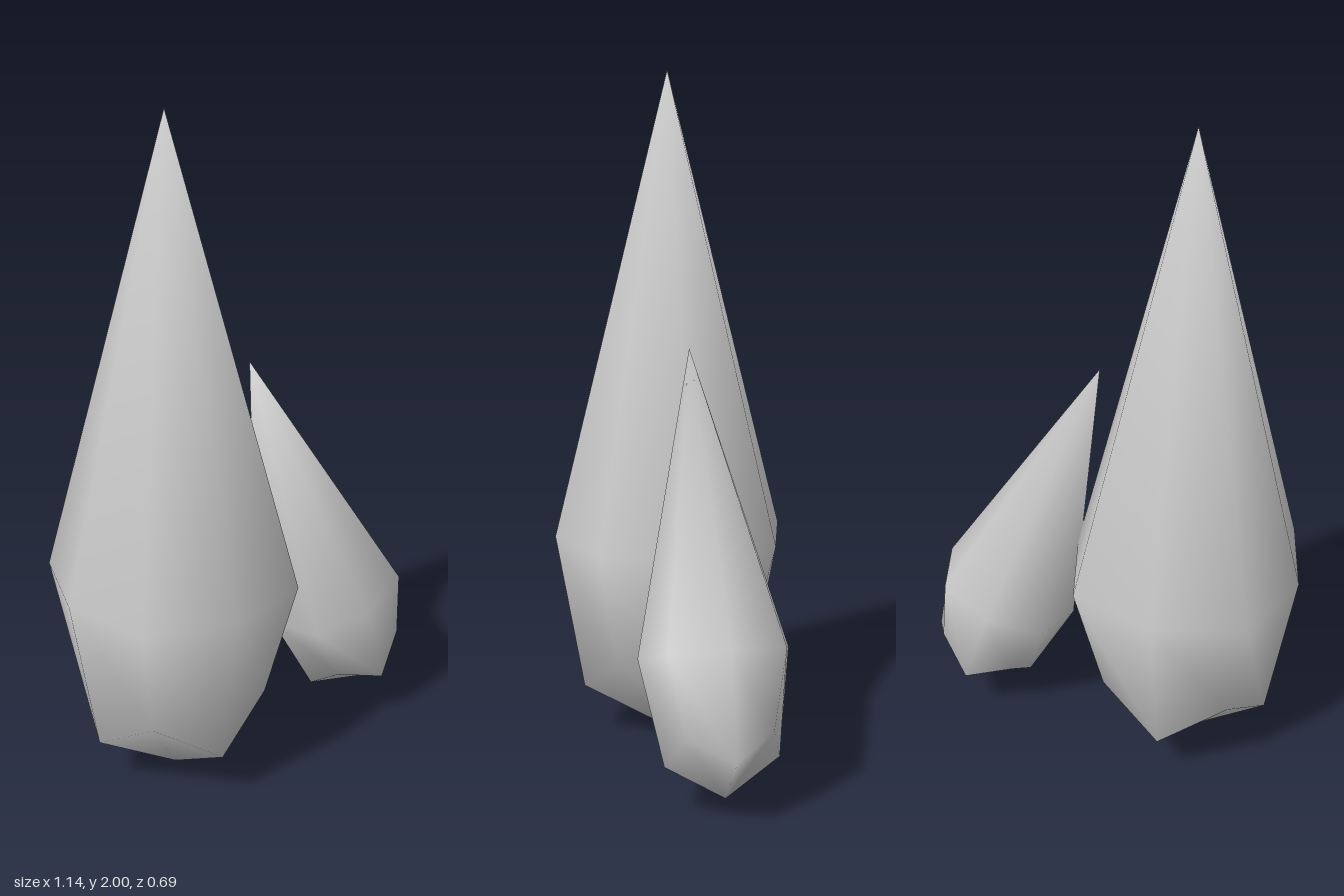
import * as THREE from 'three';

const SIDES = 8;

// Drop with its widest ring at y = 0: a straight spike above, a rounded-cube base below
function dropGeometry() {
  const points = [0, 1.36, 0]; // tip
  const addRing = (straight, diagonal) => {
    for (let i = 0; i < SIDES; i++) {
      const [radius, y] = i % 2 ? diagonal : straight;
      const a = (i / SIDES) * Math.PI * 2;
      points.push(radius * Math.cos(a), y, radius * Math.sin(a) * 1.02);
    }
  };
  addRing([0.337, 0], [0.364, 0]);           // widest ring
  addRing([0.256, -0.476], [0.27, -0.353]);  // base ring, corners sit higher
  points.push(0, -0.635, 0);                 // bottom point

  const bottom = 1 + SIDES * 2;
  const faces = [];
  for (let i = 0; i < SIDES; i++) {
    const j = (i + 1) % SIDES;
    const a = 1 + i, b = 1 + j;
    const c = a + SIDES, d = b + SIDES;
    faces.push(0, b, a);               // spike
    faces.push(a, b, c, b, d, c);      // side
    faces.push(bottom, c, d);          // underside
  }
  const geometry = new THREE.BufferGeometry();
  geometry.setAttribute('position', new THREE.Float32BufferAttribute(points, 3));
  geometry.setIndex(faces);
  geometry.computeVertexNormals();
  return geometry;
}

export function createModel() {
  const model = new THREE.Group();
  const grey = new THREE.MeshStandardMaterial({ color: 0xcccccc });
  grey.name = 'light grey';
  const geometry = dropGeometry();

  const addDrop = (name, x, y, scale, tilt) => {
    const drop = new THREE.Mesh(geometry, grey);
    drop.name = name;
    drop.position.set(x, y, 0);
    drop.scale.setScalar(scale);
    drop.rotation.z = tilt;
    model.add(drop);
  };
  addDrop('largeDrop', -0.235, 0.64, 1, 0);
  addDrop('smallDrop', 0.3175, 0.44, 0.625, 0.343); // leans toward the large one
  return model;
}
